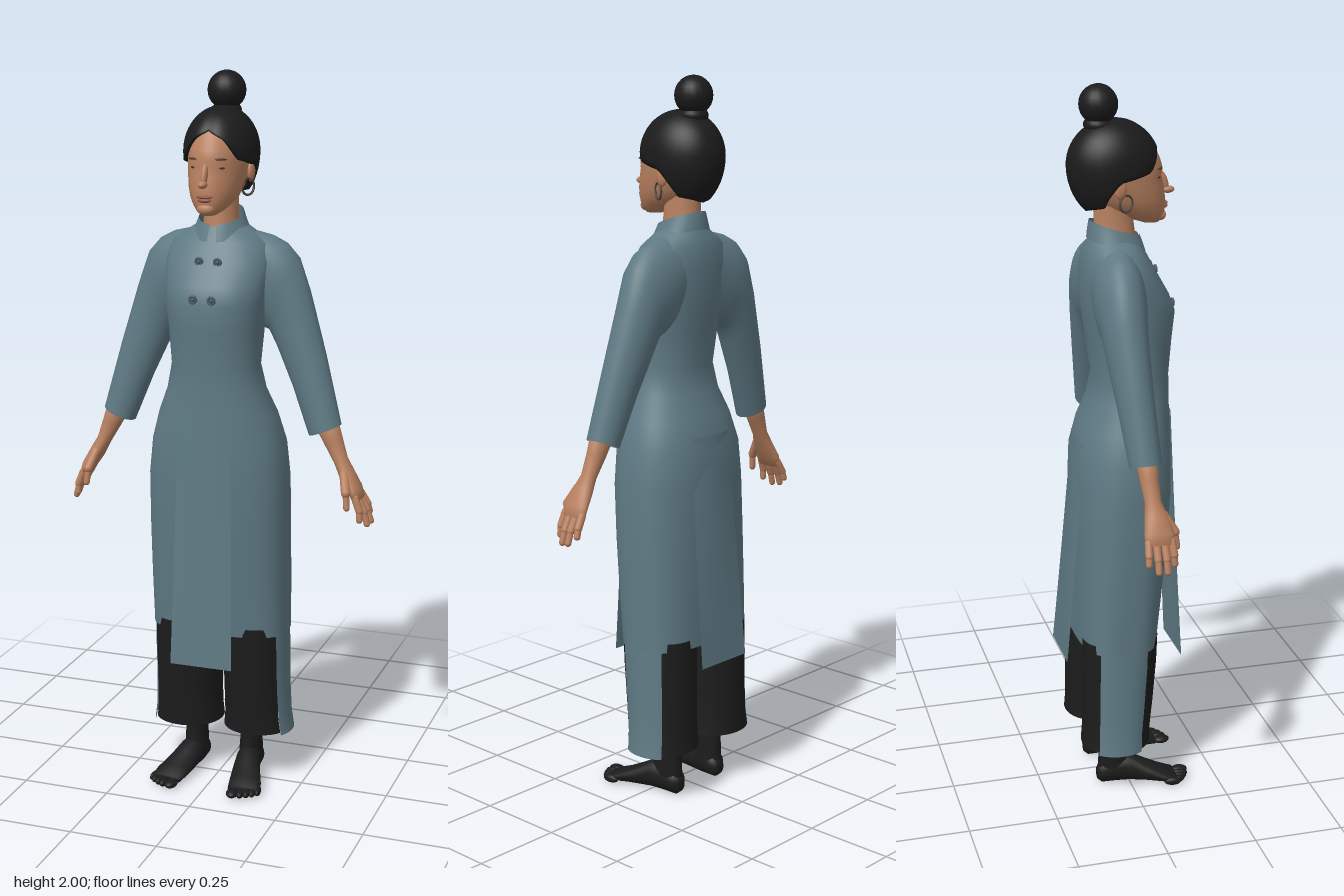
import * as THREE from 'three';

const mat = (name, color) => {
  const m = new THREE.MeshStandardMaterial({ color, side: THREE.DoubleSide });
  m.name = name;
  return m;
};

// smooth surface from a rule f(row, col) -> [x, y, z]
function surface(rows, cols, f, wrap = true, caps = false) {
  const pos = [], idx = [];
  for (let i = 0; i < rows; i++) for (let j = 0; j < cols; j++) pos.push(...f(i, j));
  const at = (i, j) => i * cols + (j % cols);
  for (let i = 0; i < rows - 1; i++)
    for (let j = 0; j < (wrap ? cols : cols - 1); j++) {
      const a = at(i, j), b = at(i, j + 1), c = at(i + 1, j), d = at(i + 1, j + 1);
      idx.push(a, b, c, b, d, c);
    }
  if (caps) for (const i of [0, rows - 1]) {
    const mid = [0, 0, 0];
    for (let j = 0; j < cols; j++) for (let k = 0; k < 3; k++) mid[k] += pos[at(i, j) * 3 + k] / cols;
    const m = pos.length / 3;
    pos.push(...mid);
    for (let j = 0; j < cols; j++)
      i ? idx.push(at(i, j), at(i, j + 1), m) : idx.push(at(i, j + 1), at(i, j), m);
  }
  const g = new THREE.BufferGeometry();
  g.setAttribute('position', new THREE.Float32BufferAttribute(pos, 3));
  g.setIndex(idx);
  g.computeVertexNormals();
  return g;
}

// loft through rings { c: centre, u, v: half axes, n: squareness }, optionally only an arc
function loft(rings, { from = 0, to = Math.PI * 2, cols = 40, caps = false } = {}) {
  const full = to - from > 6.283;
  const sp = (s, n) => Math.sign(s) * Math.abs(s) ** (2 / n);
  return surface(rings.length, cols, (i, j) => {
    const { c, u, v, n = 2 } = rings[i];
    const t = from + (to - from) * j / (full ? cols : cols - 1);
    const a = sp(Math.cos(t), n), b = sp(Math.sin(t), n);
    return c.map((p, k) => p + u[k] * a + v[k] * b);
  }, full, caps);
}

// horizontal ring; tilt raises the back
const level = (y, x0, x1, zf, zb, n = 2, tilt = 0) => ({
  c: [(x0 + x1) / 2, y, (zf + zb) / 2], u: [(x1 - x0) / 2, 0, 0], v: [0, -tilt, (zf - zb) / 2], n });
const centred = ([y, hx, zf, zb, n, tilt]) => level(y, -hx, hx, zf, zb, n, tilt);
// ring between an outer and an inner edge point of a limb
const limb = ([ox, oy, ix, iy, z, d]) => ({
  c: [(ox + ix) / 2, (oy + iy) / 2, z], u: [(ox - ix) / 2, (oy - iy) / 2, 0], v: [0, 0, d] });

export function createModel() {
  const model = new THREE.Group();
  const dress = mat('blue grey cloth', 0x5f7a84), black = mat('black cloth', 0x1c1c1c);
  const hairMat = mat('black hair', 0x1b1b1b), skin = mat('skin', 0xb98160);
  const lip = mat('lips', 0x94584a), dark = mat('eye brown', 0x4a3026);
  const metal = mat('earring metal', 0x51483f), knot = mat('button cloth', 0x465b64);

  const add = (name, geo, m, parent = model) => {
    const mesh = new THREE.Mesh(geo, m);
    mesh.name = name;
    parent.add(mesh);
    return mesh;
  };
  const blob = (name, m, p, s, parent) => {
    const b = add(name, new THREE.SphereGeometry(1, 20, 14), m, parent);
    b.position.set(...p);
    b.scale.set(...s);
    return b;
  };
  const rod = (name, m, a, b, r, parent) => {
    const A = new THREE.Vector3(...a), B = new THREE.Vector3(...b), d = B.clone().sub(A);
    const mesh = add(name, new THREE.CapsuleGeometry(r, d.length(), 5, 10), m, parent);
    mesh.position.copy(A).add(B).multiplyScalar(0.5);
    mesh.quaternion.setFromUnitVectors(new THREE.Vector3(0, 1, 0), d.normalize());
    return mesh;
  };

  // tunic from shoulders to the lower skirt
  add('tunic', loft([
    [1.6, 0.06, 0.035, -0.085], [1.575, 0.1, 0.05, -0.095], [1.55, 0.138, 0.066, -0.104],
    [1.5, 0.15, 0.092, -0.11, 2.2], [1.44, 0.142, 0.126, -0.108, 2.3], [1.395, 0.138, 0.143, -0.105, 2.3],
    [1.32, 0.13, 0.136, -0.095, 2.2], [1.22, 0.122, 0.128, -0.08, 2.2], [1.15, 0.137, 0.128, -0.092, 2.2],
    [1.08, 0.166, 0.129, -0.12, 2.2], [1, 0.188, 0.13, -0.138, 2.3], [0.9, 0.198, 0.128, -0.14, 2.4],
    [0.75, 0.198, 0.115, -0.14, 2.6], [0.6, 0.197, 0.098, -0.14, 2.8], [0.45, 0.195, 0.08, -0.14, 3],
  ].map(centred), { cols: 64 }), dress);

  // loose front and back panels
  const panel = (name, side, y0, y1, z0, z1, w0, w1) => add(name, surface(12, 9, (i, j) => {
    const t = i / 11, x = (j / 4 - 1) * (w0 + (w1 - w0) * t);
    return [x, y0 + (y1 - y0) * t, side * (z0 + (z1 - z0) * t - 2.2 * x * x * (1 - t))];
  }, false), dress);
  panel('frontPanel', 1, 1.11, 0.38, 0.134, 0.156, 0.074, 0.09);
  panel('backPanel', -1, 1.04, 0.4, 0.134, 0.179, 0.075, 0.09);

  // standing collar, open at the throat
  add('collar', loft([
    [1.575, 0.08, 0.066, -0.092, 2, 0.02], [1.6, 0.068, 0.058, -0.09, 2, 0.02], [1.622, 0.06, 0.05, -0.086, 2, 0.022],
  ].map(centred), { from: Math.PI / 2 + 0.16, to: Math.PI * 2.5 - 0.16 }), dress);

  // cloth knot buttons
  for (const [y, z] of [[1.505, 0.089], [1.41, 0.138]])
    for (const s of [-1, 1]) {
      const ring = add('button', new THREE.TorusGeometry(0.009, 0.004, 8, 14), knot);
      ring.position.set(s * 0.026, y, z);
      blob('buttonKnot', knot, [s * 0.026, y, z], [0.006, 0.006, 0.007]);
    }

  // neck and head
  add('neck', loft([[1.7, 0.046, 0.03, -0.075], [1.63, 0.045, 0.035, -0.072], [1.55, 0.055, 0.045, -0.08]].map(centred)), skin);
  add('head', loft([
    [1.885, 0.035, 0.03, -0.07], [1.865, 0.06, 0.06, -0.1], [1.84, 0.073, 0.087, -0.115],
    [1.8, 0.079, 0.106, -0.12], [1.775, 0.08, 0.113, -0.118], [1.755, 0.079, 0.11, -0.11],
    [1.73, 0.076, 0.116, -0.1], [1.7, 0.071, 0.12, -0.08], [1.675, 0.062, 0.121, -0.05],
    [1.655, 0.049, 0.118, -0.01], [1.64, 0.034, 0.115, 0.03], [1.63, 0.018, 0.105, 0.06],
  ].map(centred), { caps: true }), skin);
  blob('noseBridge', skin, [0, 1.738, 0.116], [0.009, 0.032, 0.013]).rotation.x = -0.35;
  blob('noseTip', skin, [0, 1.714, 0.13], [0.012, 0.01, 0.018]);
  blob('upperLip', lip, [0, 1.681, 0.118], [0.023, 0.005, 0.01]);
  blob('lowerLip', lip, [0, 1.672, 0.118], [0.019, 0.006, 0.01]);
  blob('chin', skin, [0, 1.648, 0.108], [0.024, 0.016, 0.016]);

  // hair swept back from a centre parting
  const hairline = [[0, 1.85], [0.45, 1.828], [0.85, 1.775], [1.6, 1.755], [2.05, 1.685], [3.15, 1.668]];
  const lineAt = t => {
    const k = Math.max(1, hairline.findIndex(p => p[0] >= t));
    const [a, b] = [hairline[k - 1], hairline[k]];
    return a[1] + (b[1] - a[1]) * (t - a[0]) / (b[0] - a[0]);
  };
  add('hair', surface(22, 64, (i, j) => {
    const t = Math.PI * 2 * j / 64, around = Math.min(t, Math.PI * 2 - t);
    const d = lineAt(around) - 1.79;
    const end = Math.acos(d / (d > 0 ? 0.12 : 0.152));
    const phi = 0.001 + end * Math.min(1, i / 20), c = Math.cos(phi);
    const r = Math.sin(phi) * (i === 21 ? 0.78 : 1) * (1 - 0.04 * Math.exp(-((around / 0.2) ** 2)));
    return [-0.1 * r * Math.sin(t), 1.79 + c * (c > 0 ? 0.12 : 0.152), -0.02 + 0.126 * r * Math.cos(t)];
  }), hairMat);
  blob('bun', hairMat, [0, 1.947, -0.06], [0.052, 0.053, 0.052]);
  blob('bunBase', hairMat, [0, 1.895, -0.06], [0.04, 0.025, 0.04]);

  // everything that is mirrored left and right
  for (const s of [1, -1]) {
    const half = new THREE.Group();
    half.name = s > 0 ? 'leftSide' : 'rightSide';
    half.scale.x = s;
    model.add(half);

    // eye, brow, ear and earring
    blob('eye', dark, [0.034, 1.755, 0.093], [0.014, 0.0045, 0.006], half).rotation.y = 0.4;
    blob('brow', dark, [0.036, 1.778, 0.0975], [0.019, 0.003, 0.005], half).rotation.y = 0.4;
    blob('ear', skin, [0.082, 1.738, -0.022], [0.01, 0.028, 0.018], half);
    const hoop = add('earring', new THREE.TorusGeometry(0.022, 0.0032, 8, 28), metal, half);
    hoop.position.set(0.079, 1.698, -0.006);
    hoop.rotation.y = 1.1;

    // sleeve
    add('sleeve', loft([
      [0.09, 1.58, 0.05, 1.37, -0.03, 0.07], [0.14, 1.568, 0.08, 1.34, -0.034, 0.07],
      [0.18, 1.548, 0.11, 1.32, -0.036, 0.068], [0.214, 1.51, 0.135, 1.31, -0.037, 0.063],
      [0.246, 1.42, 0.158, 1.265, -0.036, 0.057], [0.296, 1.25, 0.206, 1.16, -0.026, 0.049],
      [0.345, 1.065, 0.257, 1.03, -0.012, 0.043],
    ].map(limb)), dress, half);

    // forearm and palm
    add('forearm', loft([
      [0.33, 1.1, 0.265, 1.07, -0.012, 0.03], [0.35, 1.03, 0.3, 1.01, -0.01, 0.025],
      [0.367, 0.975, 0.33, 0.96, -0.006, 0.022], [0.387, 0.94, 0.35, 0.92, -0.002, 0.032],
      [0.408, 0.9, 0.375, 0.885, 0, 0.041], [0.415, 0.87, 0.39, 0.86, 0, 0.041],
    ].map(limb), { caps: true, cols: 24 }), skin, half);
    [[0.031, 0.415, 0.815], [0.011, 0.43, 0.8], [-0.011, 0.434, 0.803], [-0.032, 0.424, 0.823]].forEach(([z, x, y]) => {
      rod('fingerBase', skin, [0.4, 0.875, z], [(x + 0.412) / 2, (y + 0.865) / 2, z * 1.1], 0.0105, half);
      rod('fingerTip', skin, [(x + 0.412) / 2, (y + 0.865) / 2, z * 1.1], [x, y, z * 1.15], 0.009, half);
    });
    rod('thumbBase', skin, [0.365, 0.935, 0.018], [0.378, 0.89, 0.045], 0.013, half);
    rod('thumbTip', skin, [0.378, 0.89, 0.045], [0.382, 0.85, 0.05], 0.009, half);

    // wide trouser leg, with the tunic's side flap on the outside
    const leg = [[0.475, 0.01, 0.193, 0.077, -0.136], [0.4, 0.008, 0.195, 0.074, -0.138],
      [0.28, 0.01, 0.194, 0.064, -0.138], [0.19, 0.01, 0.197, 0.054, -0.139], [0.15, 0.006, 0.203, 0.052, -0.142]];
    add('trouserLeg', loft(leg.map(r => level(...r, 2.1)), { from: 0.58, to: Math.PI * 2 - 0.7 }), black, half);
    add('sideFlap', loft(leg.map(([y, a, b, f, k], i) => level(i === 4 ? 0.143 : y, a, b + i * 0.001, f, k, 2.1)),
      { from: -0.72, to: 0.6, cols: 16 }), dress, half);

    // ankle, foot and toes
    add('ankle', loft([[0.5, 0.05, 0.15, 0.02, -0.1], [0.25, 0.048, 0.122, 0.01, -0.095],
      [0.12, 0.054, 0.114, 0, -0.086], [0.05, 0.05, 0.116, 0.01, -0.09]].map(r => level(...r)), { cols: 24 }), black, half);
    add('foot', loft([
      [-0.092, 0.083, 0.016, 0.03, 0.018], [-0.08, 0.083, 0.028, 0.036, 0.034], [-0.04, 0.084, 0.034, 0.045, 0.043],
      [0, 0.088, 0.036, 0.045, 0.043], [0.04, 0.097, 0.041, 0.034, 0.032],
      [0.09, 0.11, 0.047, 0.022, 0.02], [0.13, 0.116, 0.045, 0.014, 0.012],
    ].map(([z, x, hx, y, hy]) => ({ c: [x, y, z], u: [hx, 0, 0], v: [0, hy, 0] })), { caps: true, cols: 24 }), black, half);
    [[0.092, 0.152, 0.017], [0.114, 0.146, 0.011], [0.13, 0.138, 0.01], [0.144, 0.128, 0.0095], [0.156, 0.115, 0.009]]
      .forEach(([x, z, r]) => { blob('toe', black, [x, 0.012, z], [r, 0.0115, 0.024], half).rotation.y = 0.15; });
  }
  return model;
}
